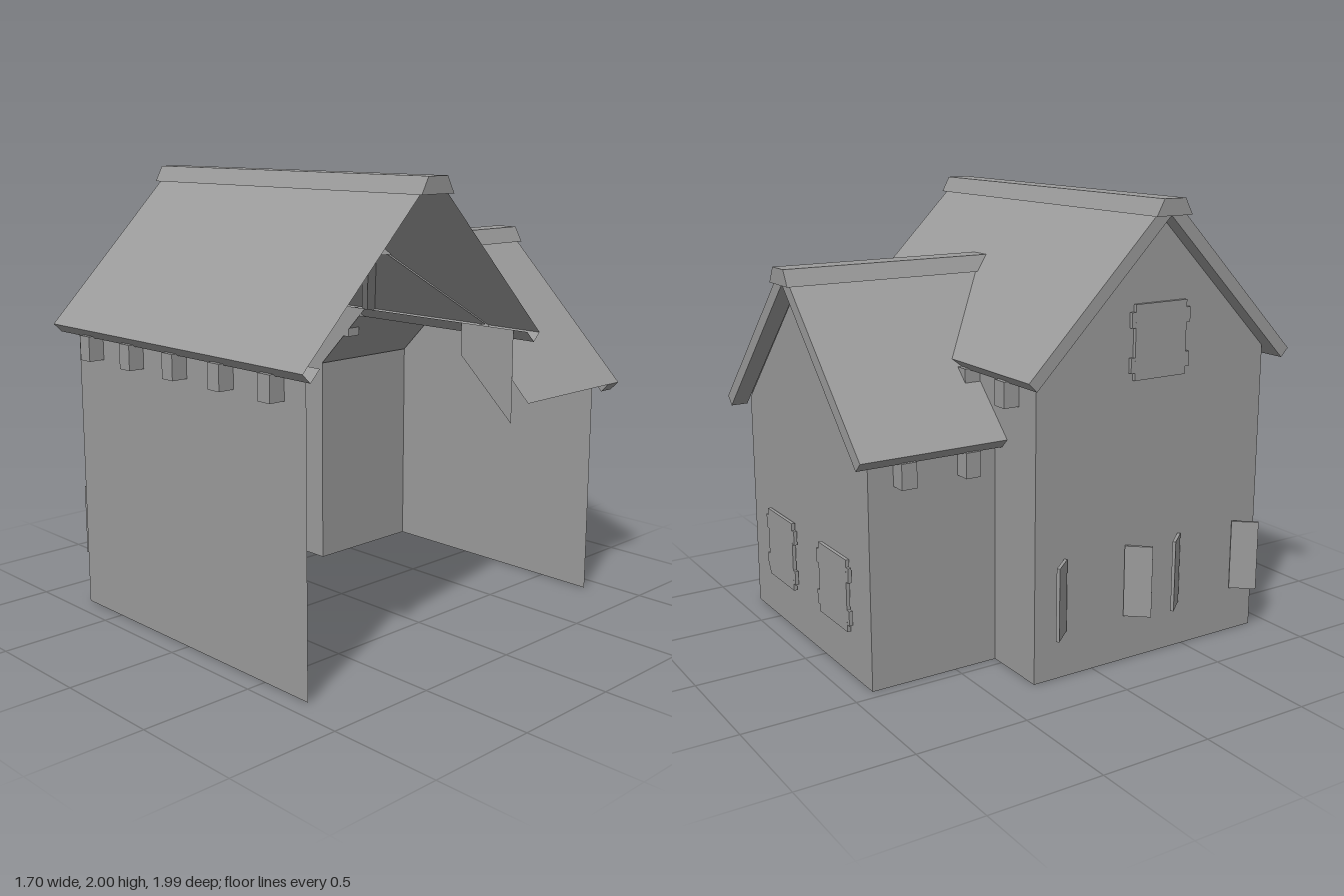
import * as THREE from 'three';

const material = new THREE.MeshStandardMaterial({ color: 0x9a9a9a, flatShading: true, side: THREE.DoubleSide });

const shapeOf = (pts) => new THREE.Shape(pts.map(([a, b]) => new THREE.Vector2(a, b)));

const prism = (pts, depth) =>
  new THREE.ExtrudeGeometry(shapeOf(pts), { depth, bevelEnabled: false });

// open section of (z, y) points swept from x0 to x1
function sweepX(pts, x0, x1) {
  const pos = [];
  for (let i = 0; i < pts.length - 1; i++) {
    const [[za, ya], [zb, yb]] = [pts[i], pts[i + 1]];
    pos.push(x0, ya, za, x1, ya, za, x1, yb, zb, x0, ya, za, x1, yb, zb, x0, yb, zb);
  }
  const g = new THREE.BufferGeometry();
  g.setAttribute('position', new THREE.Float32BufferAttribute(pos, 3));
  g.computeVertexNormals();
  return g;
}

export function createModel() {
  const root = new THREE.Group();

  const add = (name, geometry, x = 0, y = 0, z = 0, parent = root) => {
    const mesh = new THREE.Mesh(geometry, material);
    mesh.name = name;
    mesh.position.set(x, y, z);
    parent.add(mesh);
    return mesh;
  };
  // thin wall facing z, outline in (x, y)
  const wallZ = (name, z, pts) => add(name, new THREE.ShapeGeometry(shapeOf(pts)), 0, 0, z);
  // thin wall facing x, outline in (z, y)
  const wallX = (name, x, pts) =>
    add(name, new THREE.ShapeGeometry(shapeOf(pts)).rotateY(-Math.PI / 2), x, 0, 0);

  // Main house walls; the +x side is open
  const xw = 0.755, zf = 0.91, zb = -0.3, ridgeZ = 0.305, eave = 1.325;
  wallZ('frontWall', zf, [[-xw, 0], [xw, 0], [xw, eave], [-xw, eave]]);
  wallX('mainGableWall', -xw, [[zb, 0], [zf, 0], [zf, eave], [ridgeZ, 1.93], [zb, eave]]);
  wallZ('backWall', zb, [[-xw, 0], [-0.45, 0], [-0.45, 1.02], [-0.15, eave], [-xw, eave]]);
  wallZ('backWallCorner', zb, [[0.46, eave], [0.46, 1.18], [xw, 0.91], [xw, eave]]);

  // Rear wing walls
  const zr = -0.9, wx = -0.45, ridgeX = 0.15, wingEave = 1.02;
  wallZ('wingGableWall', zr, [[wx, 0], [xw, 0], [xw, wingEave], [ridgeX, 1.63], [wx, wingEave]]);
  wallX('wingSideWall', wx, [[zr, 0], [zb, 0], [zb, wingEave], [zr, wingEave]]);

  // Main roof: solid verge past the gable wall, open sheet with eave lips over the rest
  const outer = [
    [0.605, 1.325], [0.652, 1.277], [0.69, 1.315], [0.03, 1.98],
    [-0.03, 1.98], [-0.69, 1.315], [-0.652, 1.277], [-0.605, 1.325],
  ];
  const verge = [...outer.slice(1, 7), [0, 1.93]];
  add('mainRoofVerge', prism(verge, 0.83 - xw).rotateY(-Math.PI / 2), -xw, 0, ridgeZ);
  add('mainRoof', sweepX(outer, -xw, 0.83), 0, 0, ridgeZ);

  // Ridge caps
  const cap = [[-0.093, 0], [0.093, 0], [0.055, 0.07], [-0.055, 0.07]];
  add('mainRidgeCap', prism(cap, 1.7).rotateY(-Math.PI / 2), 0.85, 1.93, ridgeZ);
  add('wingRidgeCap', prism(cap, 1.095), ridgeX - 0.003, 1.63, -0.995);

  // Wing roof cut along the valley, outlines in (slope distance, z)
  const tip = 0.983, zEnd = -0.978;
  const slope = (end) => [
    [0.03, 0], [0.55, -0.368], [0.55, zb], [tip, zb], [tip, end], [0.03, end],
  ];
  const tilt = (g) => g.rotateX(Math.PI / 2).rotateZ(-Math.PI / 4);
  add('wingRoofRight', tilt(prism(slope(zEnd), 0.056)), ridgeX, 1.71, 0).scale.x = -1;
  // the side over the open end is a sheet with a solid verge
  add('wingRoofLeft', tilt(new THREE.ShapeGeometry(shapeOf(slope(zr)))), ridgeX, 1.71, 0);
  const wingVerge = [[0.03, zr], [tip, zr], [tip, zEnd], [0.03, zEnd]];
  add('wingRoofVerge', tilt(prism(wingVerge, 0.056)), ridgeX, 1.71, 0);

  // Beam ends under the eaves
  const beam = new THREE.BoxGeometry(0.07, 0.11, 0.073);
  for (const x of [-0.6, -0.3, 0, 0.3, 0.6]) add('frontBeam', beam, x, 1.23, zf + 0.038);
  for (const x of [-0.6, -0.3]) add('backBeam', beam, x, 1.23, zb - 0.038);
  for (const z of [-0.75, -0.45]) add('wingBeam', beam, wx - 0.038, 0.925, z).rotation.y = Math.PI / 2;

  // Closed shutters: a plate with hinge tabs on both sides
  const shutters = (x, y, z, turn) => {
    const g = new THREE.Group();
    g.name = 'closedShutters';
    add('shutterPlate', new THREE.BoxGeometry(0.27, 0.32, 0.016), 0, 0, 0, g);
    for (const ty of [-0.095, 0.095]) {
      add('shutterTab', new THREE.BoxGeometry(0.31, 0.065, 0.0158), 0, ty, 0, g);
    }
    g.position.set(x, y, z);
    g.rotation.y = turn;
    root.add(g);
  };
  shutters(0.405, 0.37, zr - 0.018, 0);
  shutters(-0.145, 0.37, zr - 0.018, 0);
  shutters(-xw - 0.012, 1.41, 0.315, Math.PI / 2);

  // Half-open shutters on the side wall, swinging out toward dir
  const leaf = new THREE.BoxGeometry(0.12, 0.32, 0.014).translate(0.06, 0, 0);
  for (const [z, dir] of [[-0.15, -1], [0.16, 1], [0.46, -1], [0.77, 1]]) {
    add('openShutter', leaf, -xw - 0.007, 0.37, z).rotation.y = Math.PI + dir * 0.87;
  }

  return root;
}
